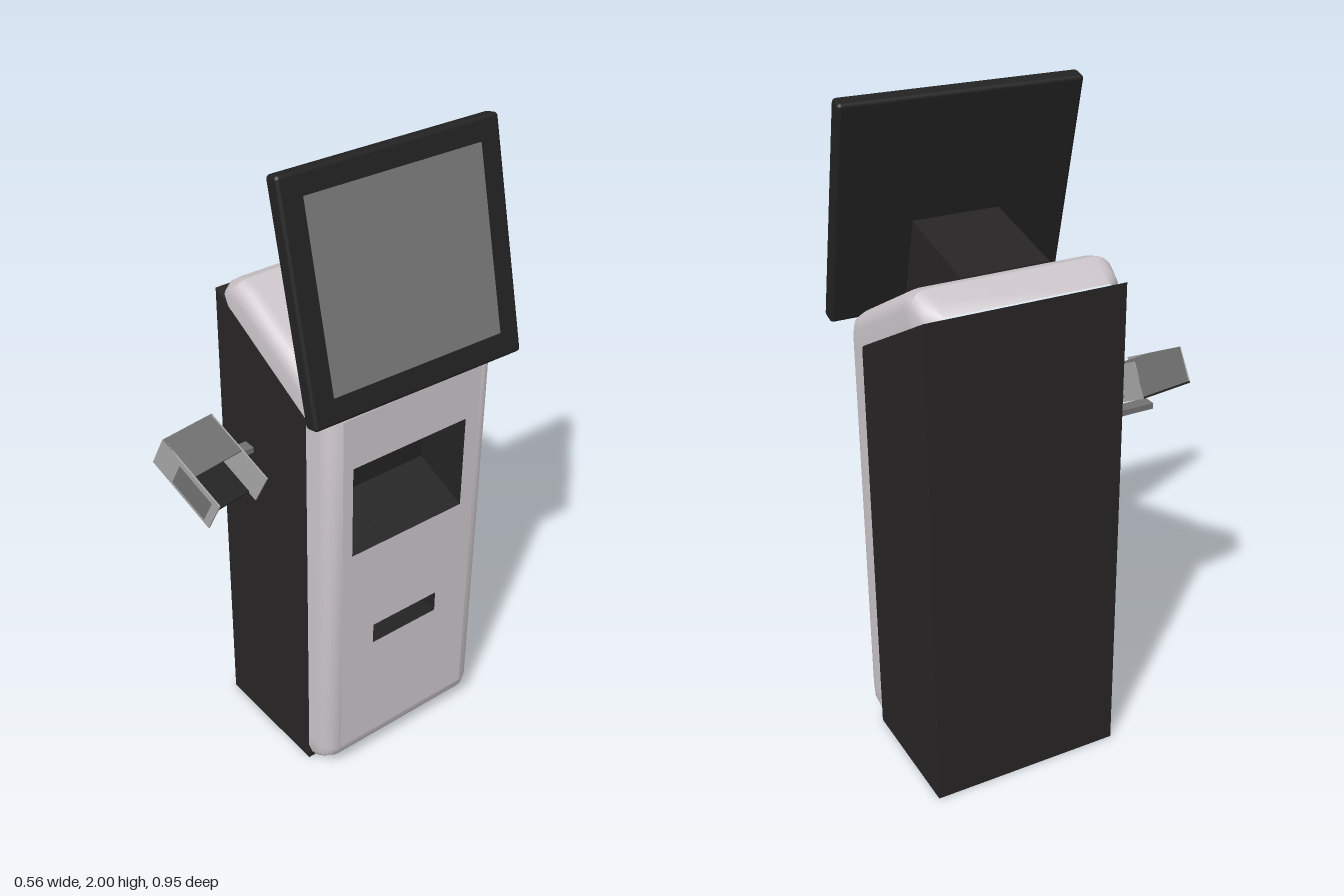
import * as THREE from 'three';
import { toCreasedNormals } from 'three/addons/utils/BufferGeometryUtils.js';
import { RoundedBoxGeometry } from 'three/addons/geometries/RoundedBoxGeometry.js';

const Z0 = -0.42, Z1 = 0.175, FRONT = 0.235, R = 0.05;
const paint = (color, side = THREE.FrontSide) => new THREE.MeshStandardMaterial({ color, side });
const dark = paint(0x272425), black = paint(0x222222), white = paint(0xcbc5c9);
const glass = paint(0x777777), steel = paint(0xa4a4a4), steelDark = paint(0x707070);

function add(parent, name, geometry, material, x = 0, y = 0, z = 0) {
  const mesh = new THREE.Mesh(geometry, material);
  mesh.name = name;
  mesh.position.set(x, y, z);
  parent.add(mesh);
  return mesh;
}

const box = (x, y, z) => new THREE.BoxGeometry(x, y, z);

// Side profile in x/y, extruded from z0 to z1
function prism(points, z0, z1) {
  const shape = new THREE.Shape(points.map(([x, y]) => new THREE.Vector2(x, y)));
  return new THREE.ExtrudeGeometry(shape, { depth: z1 - z0, bevelEnabled: false }).translate(0, 0, z0);
}

// Rounded cover lofted along the top and front: outer x, y, inner x, y, inset at the ends
function coverGeometry() {
  const stations = [
    [-0.28, 1.525, -0.28, 1.52, 0.05], [-0.24, 1.553, -0.255, 1.507, 0.012],
    [-0.19, 1.572, -0.22, 1.488, 0], [-0.145, 1.56, -0.19, 1.472, 0],
    [0.18, 1.385, 0.11, 1.313, 0], [0.22, 1.358, 0.13, 1.302, 0],
    [FRONT, 1.32, 0.135, 1.28, 0], [FRONT, 0.1, 0.135, 0.1, 0],
    [0.225, 0.065, 0.135, 0.055, 0], [0.2, 0.038, 0.135, 0.02, 0.012],
    [0.135, 0, 0.135, 0, 0.05],
  ];
  const steps = 6, pos = [], idx = [];
  for (const [ox, oy, ix, iy, inset] of stations) {
    const d = Math.hypot(ox - ix, oy - iy), r = Math.min(R, d);
    const half = [[0, inset]];
    for (let k = 0; k <= steps; k++) {
      const a = (k / steps) * Math.PI / 2;
      half.push([d ? (d - r + r * Math.sin(a)) / d : 1, inset + r * (1 - Math.cos(a))]);
    }
    const put = (t, z) => pos.push(ix + (ox - ix) * t, iy + (oy - iy) * t, z);
    half.forEach(([t, e]) => put(t, Z0 + e));
    half.reverse().forEach(([t, e]) => put(t, Z1 - e));
  }
  const n = 2 * (steps + 2);
  for (let i = 0; i < stations.length - 1; i++) {
    for (let j = 0; j < n - 1; j++) {
      // the flat front is a separate panel with openings
      if (i === 6 && j === n / 2 - 1) continue;
      const a = i * n + j, b = a + n;
      idx.push(a, a + 1, b, a + 1, b + 1, b);
    }
  }
  const g = new THREE.BufferGeometry();
  g.setAttribute('position', new THREE.Float32BufferAttribute(pos, 3));
  g.setIndex(idx);
  return toCreasedNormals(g, 0.6);
}

// Rectangles are [z0, z1, y0, y1]
const corners = ([z0, z1, y0, y1]) => [[z0, y0], [z1, y0], [z1, y1], [z0, y1]];

function frontPanel(openings) {
  const toPath = (rect, P) => new P(corners(rect).map(([z, y]) => new THREE.Vector2(-z, y)));
  const shape = toPath([Z0 + R, Z1 - R, 0.1, 1.32], THREE.Shape);
  shape.holes = openings.map((o) => toPath(o, THREE.Path));
  return new THREE.ShapeGeometry(shape).rotateY(Math.PI / 2).translate(FRONT, 0, 0);
}

// Funnel-shaped pocket from the opening to a smaller back wall
function pocket(opening, back, depth) {
  const pos = [];
  corners(opening).forEach(([z, y]) => pos.push(FRONT, y, z));
  corners(back).forEach(([z, y]) => pos.push(FRONT - depth, y, z));
  const idx = [4, 6, 5, 4, 7, 6];
  for (let i = 0; i < 4; i++) {
    const j = (i + 1) % 4;
    idx.push(i, i + 4, j, j, i + 4, j + 4);
  }
  const g = new THREE.BufferGeometry();
  g.setAttribute('position', new THREE.Float32BufferAttribute(pos, 3));
  g.setIndex(idx);
  const flat = g.toNonIndexed();
  flat.computeVertexNormals();
  return flat;
}

export function createModel() {
  const model = new THREE.Group();
  model.name = 'kiosk';

  // Dark cabinet, its middle notched behind the large pocket
  const cabinet = new THREE.Group();
  cabinet.name = 'cabinet';
  model.add(cabinet);
  const base = [[-0.28, 0], [0.135, 0]], top = [[0.135, 1.3], [-0.28, 1.52]];
  const notch = [[0.135, 0.8], [0.05, 0.8], [0.05, 1.2], [0.135, 1.2]];
  add(cabinet, 'cabinetRight', prism([...base, ...top], Z0, -0.35), dark);
  add(cabinet, 'cabinetMiddle', prism([...base, ...notch, ...top], -0.35, 0.12), dark);
  add(cabinet, 'cabinetLeft', prism([...base, ...top], 0.12, Z1), dark);

  // Pale cover with its two openings
  const tray = [-0.32, 0.09, 0.85, 1.155], slot = [-0.24, 0.005, 0.475, 0.545];
  const inside = paint(0x242324, THREE.DoubleSide);
  add(model, 'cover', coverGeometry(), white);
  add(model, 'frontPanel', frontPanel([tray, slot]), white);
  add(model, 'trayPocket', pocket(tray, [-0.3, 0.055, 0.945, 1.15], 0.16), inside);
  add(model, 'slotPocket', pocket(slot, slot, 0.08), inside);

  // Wedge that carries the screen
  const wedge = [[-0.135, 1.54], [0.2, 1.36], [0.225, 1.37], [0.155, 1.628], [-0.135, 1.56]];
  add(model, 'screenBracket', prism(wedge, -0.245, 0.02), dark);

  // Tilted screen
  const screen = new THREE.Group();
  screen.name = 'screen';
  screen.position.set(0.172, 1.67, -0.116);
  screen.rotation.set(0, -0.024, 0.245);
  model.add(screen);
  add(screen, 'screenHousing', new RoundedBoxGeometry(0.05, 0.67, 0.71, 3, 0.012), black);
  add(screen, 'screenGlass', box(0.004, 0.53, 0.57), glass, 0.0245, 0.005, 0);

  // Scanner on a side arm
  add(model, 'scannerArm', box(0.04, 0.018, 0.2), steelDark, -0.14, 1.06, 0.26);
  const scanner = new THREE.Group();
  scanner.name = 'scanner';
  scanner.position.set(-0.055, 1.108, 0.366);
  scanner.rotation.set(0, 0.15, -0.47);
  model.add(scanner);
  add(scanner, 'scannerBack', box(0.006, 0.11, 0.18), steelDark, -0.122, 0, 0);
  add(scanner, 'scannerTop', box(0.14, 0.006, 0.18), steelDark, -0.055, 0.052, 0);
  add(scanner, 'scannerFloor', box(0.22, 0.006, 0.18), black, -0.015, -0.052, 0);
  add(scanner, 'scannerReader', box(0.1, 0.1, 0.17), black, -0.07, 0, 0);
  for (const s of [-1, 1]) {
    add(scanner, 'scannerSide', box(0.25, 0.11, 0.005), steel, 0, 0, s * 0.0885);
    add(scanner, 'scannerSidePanel', box(0.14, 0.08, 0.002), steelDark, 0.03, -0.003, s * 0.0915);
  }
  return model;
}
